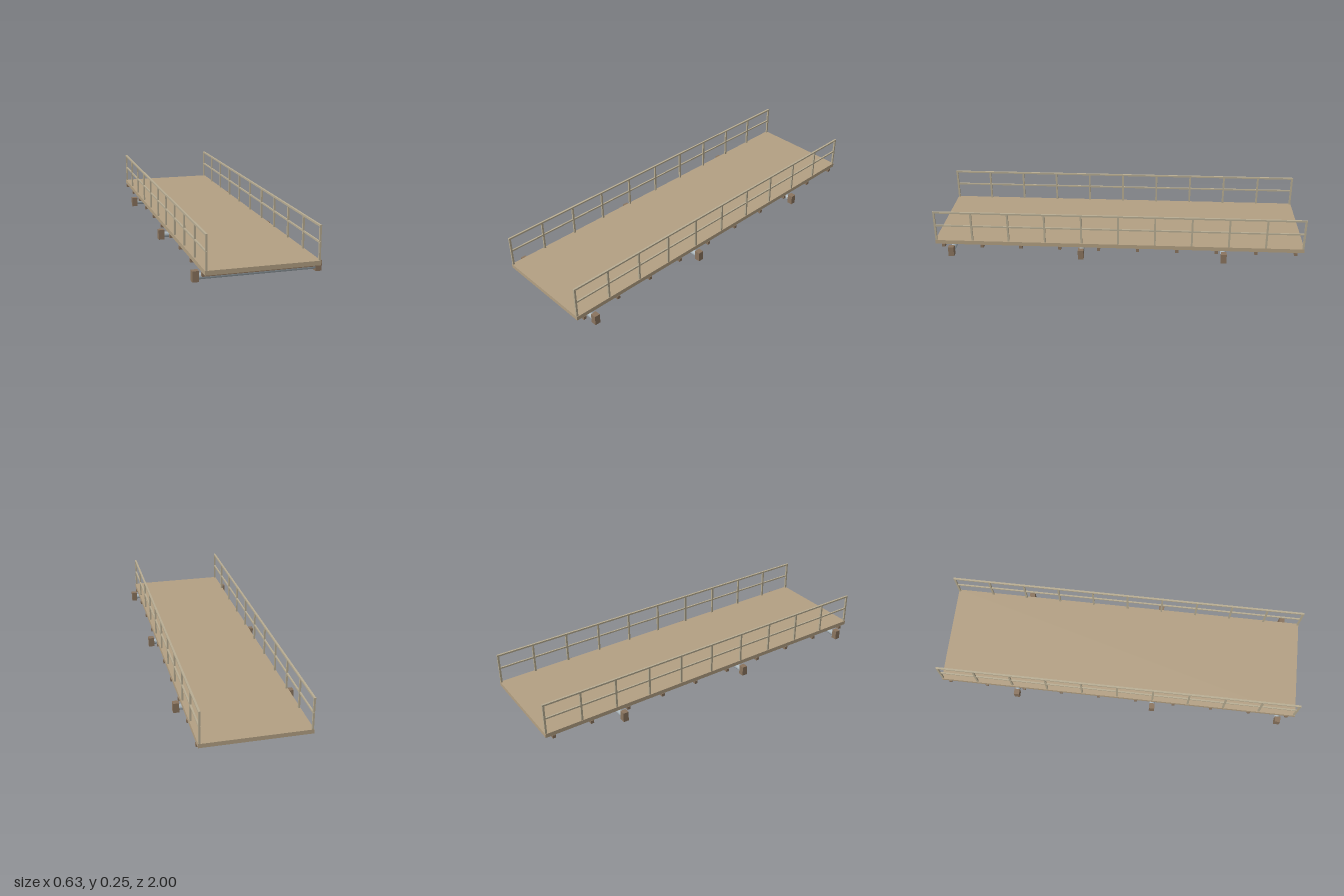
import * as THREE from 'three';

export function createModel() {
  const model = new THREE.Group();
  const mat = (color) => new THREE.MeshStandardMaterial({ color });
  const wood = mat(0xb3a083), darkWood = mat(0x8a745e), railPaint = mat(0xb8ad93), steel = mat(0xa9b4ba);

  function box(name, w, h, d, x, y, z, material) {
    const mesh = new THREE.Mesh(new THREE.BoxGeometry(w, h, d), material);
    mesh.name = name;
    mesh.position.set(x, y, z);
    model.add(mesh);
  }

  // Deck slab
  box('deck', 0.556, 0.022, 2, 0, 0.066, 0, wood);

  // Cross joists under the deck
  for (let i = 0; i < 10; i++) {
    box('joist', 0.562, 0.017, 0.017, 0, 0.0465, -0.956 + i * 0.2124, darkWood);
  }

  // Steel cross tubes with a bearing block at each end
  for (const z of [0.908, 0.2, -0.57]) {
    const tube = new THREE.Mesh(new THREE.CylinderGeometry(0.015, 0.015, 0.576, 24), steel);
    tube.name = 'crossTube';
    tube.rotation.z = Math.PI / 2;
    tube.position.set(0, 0.0235, z);
    model.add(tube);
    for (const s of [-1, 1]) {
      box('bearingBlock', 0.031, 0.053, 0.03, s * 0.3005, 0.0265, z, darkWood);
    }
  }

  // Guard rails along both sides
  for (const s of [-1, 1]) {
    const x = s * 0.271;
    for (let i = 0; i < 11; i++) {
      box('railPost', 0.009, 0.166, 0.01, x, 0.16, -0.994 + i * 0.1988, railPaint);
    }
    box('topRail', 0.01, 0.009, 2, x, 0.2425, 0, railPaint);
    box('midRail', 0.008, 0.008, 2, x, 0.164, 0, railPaint);
  }

  return model;
}
